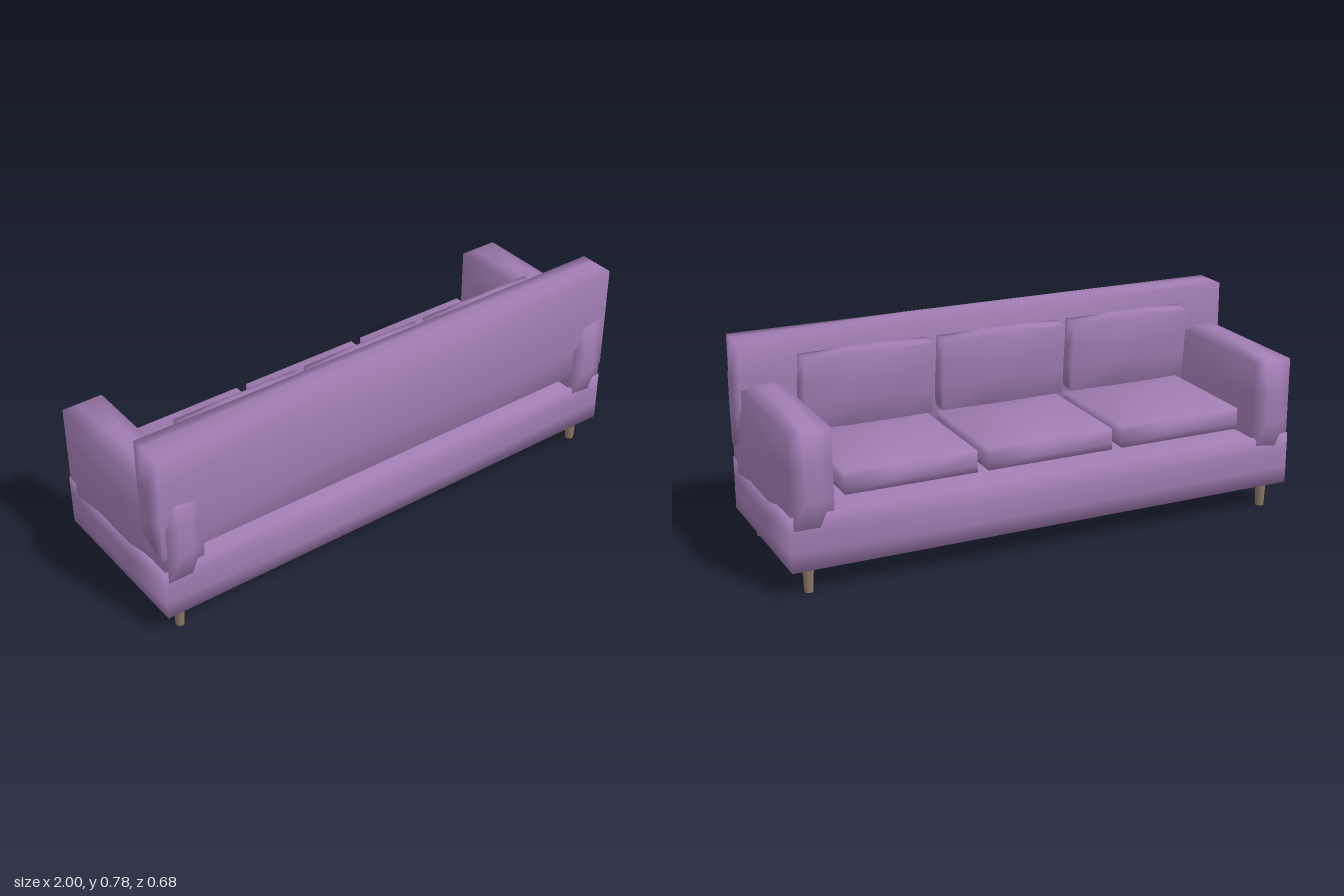
import * as THREE from 'three';
import { mergeVertices } from 'three/addons/utils/BufferGeometryUtils.js';

// Upholstered block: box with 3 x 3 faces per side, whose inner points swell outward.
function paddedBox([w, h, d], [bx, by, bz]) {
  let g = new THREE.BoxGeometry(w, h, d, 3, 3, 3);
  g.deleteAttribute('uv');
  g.deleteAttribute('normal');
  g = mergeVertices(g);
  const p = g.attributes.position;
  const side = (v, size) => (Math.abs(v) > size * 0.49 ? Math.sign(v) : 0);
  for (let i = 0; i < p.count; i++) {
    const sx = side(p.getX(i), w), sy = side(p.getY(i), h), sz = side(p.getZ(i), d);
    if (Math.abs(sx) + Math.abs(sy) + Math.abs(sz) === 1) {
      p.setXYZ(i, p.getX(i) + sx * bx, p.getY(i) + sy * by, p.getZ(i) + sz * bz);
    }
  }
  g.computeVertexNormals();
  return g;
}

export function createModel() {
  const fabric = new THREE.MeshStandardMaterial({ color: 0xa07cb2 });
  fabric.name = 'purple fabric';
  const wood = new THREE.MeshStandardMaterial({ color: 0x8b7562 });
  wood.name = 'brown wood';

  const sofa = new THREE.Group();
  sofa.name = 'sofa';
  const add = (name, geometry, material, x, y, z) => {
    const m = new THREE.Mesh(geometry, material);
    m.name = name;
    m.position.set(x, y, z);
    sofa.add(m);
    return m;
  };

  // Base and backrest; the backrest stands on the +z side
  add('base', paddedBox([1.97, 0.2, 0.652], [0.015, 0.012, 0.014]), fabric, 0, 0.2, 0);
  add('backrest', paddedBox([1.97, 0.41, 0.138], [0.015, 0.014, 0.016]), fabric, 0, 0.56, 0.257);

  // Arms and legs
  const arm = paddedBox([0.155, 0.366, 0.645], [0.016, 0.021, 0.019]);
  const leg = new THREE.CylinderGeometry(0.02, 0.016, 0.09, 16);
  for (const s of [1, -1]) {
    const sideName = s > 0 ? 'left' : 'right';
    add(sideName + 'Arm', arm, fabric, s * 0.904, 0.41, 0);
    for (const z of [0.271, -0.271]) {
      add(sideName + (z > 0 ? 'BackrestSideLeg' : 'SeatSideLeg'), leg, wood, s * 0.912, 0.045, z);
    }
  }

  // Three seat cushions with three loose back cushions
  const seat = paddedBox([0.49, 0.08, 0.46], [0.012, 0.03, 0.014]);
  const cushion = paddedBox([0.49, 0.27, 0.073], [0.012, 0.013, 0.016]);
  for (const x of [-0.532, 0, 0.532]) {
    add('seatCushion', seat, fabric, x, 0.377, -0.062);
    add('backCushion', cushion, fabric, x, 0.572, 0.137).rotation.x = -0.09;
  }
  return sofa;
}
